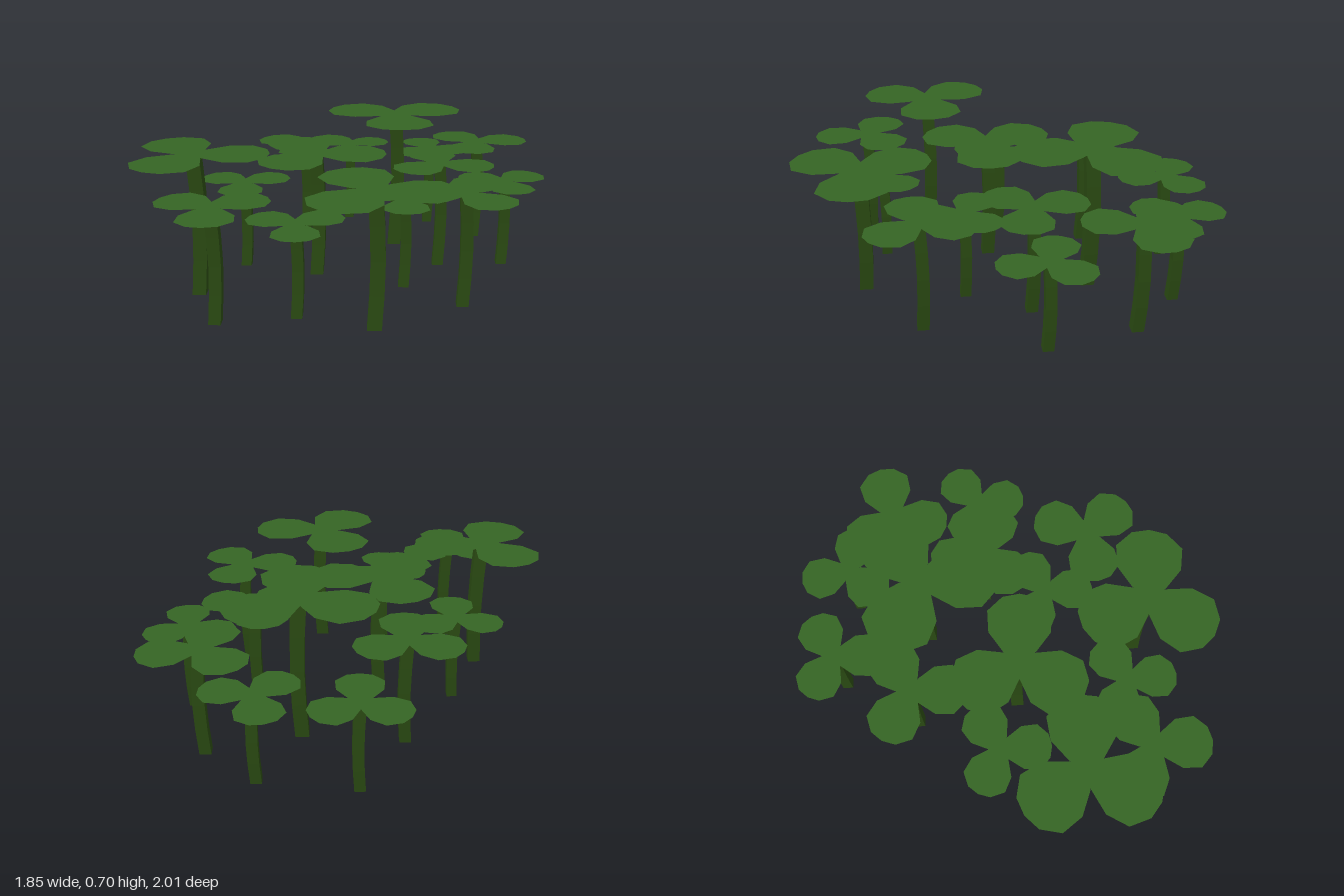
import * as THREE from 'three';

// Each plant: x, z, height, leaf length, direction of first leaf (degrees, from +x towards +z)
const PLANTS = [
  [0.165, -0.385, 0.70, 0.365, 79],
  [-0.65, 0.43, 0.665, 0.34, 110],
  [-0.16, 0.10, 0.605, 0.335, 116],
  [0.20, 0.68, 0.615, 0.35, 119],
  [-0.485, 0.735, 0.525, 0.265, 80],
  [-0.315, -0.39, 0.525, 0.265, 83],
  [0.58, -0.575, 0.525, 0.27, 99],
  [0.415, -0.11, 0.525, 0.265, 10],
  [0.56, 0.38, 0.525, 0.265, 45],
  [-0.14, -0.785, 0.43, 0.235, 84],
  [0.31, -0.775, 0.43, 0.235, 128],
  [0.73, -0.17, 0.43, 0.232, 74],
  [0.275, 0.20, 0.43, 0.23, 81],
  [-0.53, 0.045, 0.43, 0.235, 82],
  [-0.15, 0.62, 0.43, 0.23, 78],
];

// Faceted leaf outline, one half, running from the stem (0) to the tip (1)
const HALF_LEAF = [[0.13, 0.22], [0.42, 0.43], [0.74, 0.45], [0.95, 0.24]];

function leafGeometry() {
  const points = [[-0.04, 0], ...HALF_LEAF.map(([a, w]) => [a, -w]), [1, 0],
    ...[...HALF_LEAF].reverse()];
  const shape = new THREE.Shape(points.map(([a, w]) => new THREE.Vector2(a, w)));
  return new THREE.ShapeGeometry(shape).rotateX(-Math.PI / 2);
}

// Square stem that bows slightly sideways halfway up
function stemGeometry(height, width) {
  const r = width / Math.SQRT2;
  const geo = new THREE.CylinderGeometry(r, r, height, 4, 4, false, Math.PI / 4);
  geo.rotateY(0.12);
  geo.translate(0, height / 2, 0);
  const p = geo.attributes.position;
  for (let i = 0; i < p.count; i++) {
    const bow = Math.sin(Math.PI * p.getY(i) / height) * height * 0.02;
    p.setX(i, p.getX(i) + bow);
    p.setZ(i, p.getZ(i) - bow);
  }
  geo.computeVertexNormals();
  return geo;
}

export function createModel() {
  const model = new THREE.Group();
  model.name = 'cloverPatch';

  const leafGreen = new THREE.MeshStandardMaterial({ color: 0x356524, side: THREE.DoubleSide });
  leafGreen.name = 'leafGreen';
  const stemGreen = new THREE.MeshStandardMaterial({ color: 0x2a4a12, flatShading: true });
  stemGreen.name = 'stemGreen';

  const leafGeo = leafGeometry();

  for (const [x, z, height, length, angle] of PLANTS) {
    const plant = new THREE.Group();
    plant.name = 'clover';
    plant.position.set(x, 0, z);

    const stem = new THREE.Mesh(stemGeometry(height, 0.022 + length * 0.12), stemGreen);
    stem.name = 'stem';
    plant.add(stem);

    // Three flat leaves around the stem top
    for (let i = 0; i < 3; i++) {
      const leaf = new THREE.Mesh(leafGeo, leafGreen);
      leaf.name = 'leaf';
      leaf.scale.set(length, 1, length);
      leaf.rotation.y = -THREE.MathUtils.degToRad(angle + i * 120);
      leaf.position.y = height + 0.0005 * (i + 1);
      plant.add(leaf);
    }
    model.add(plant);
  }
  return model;
}
